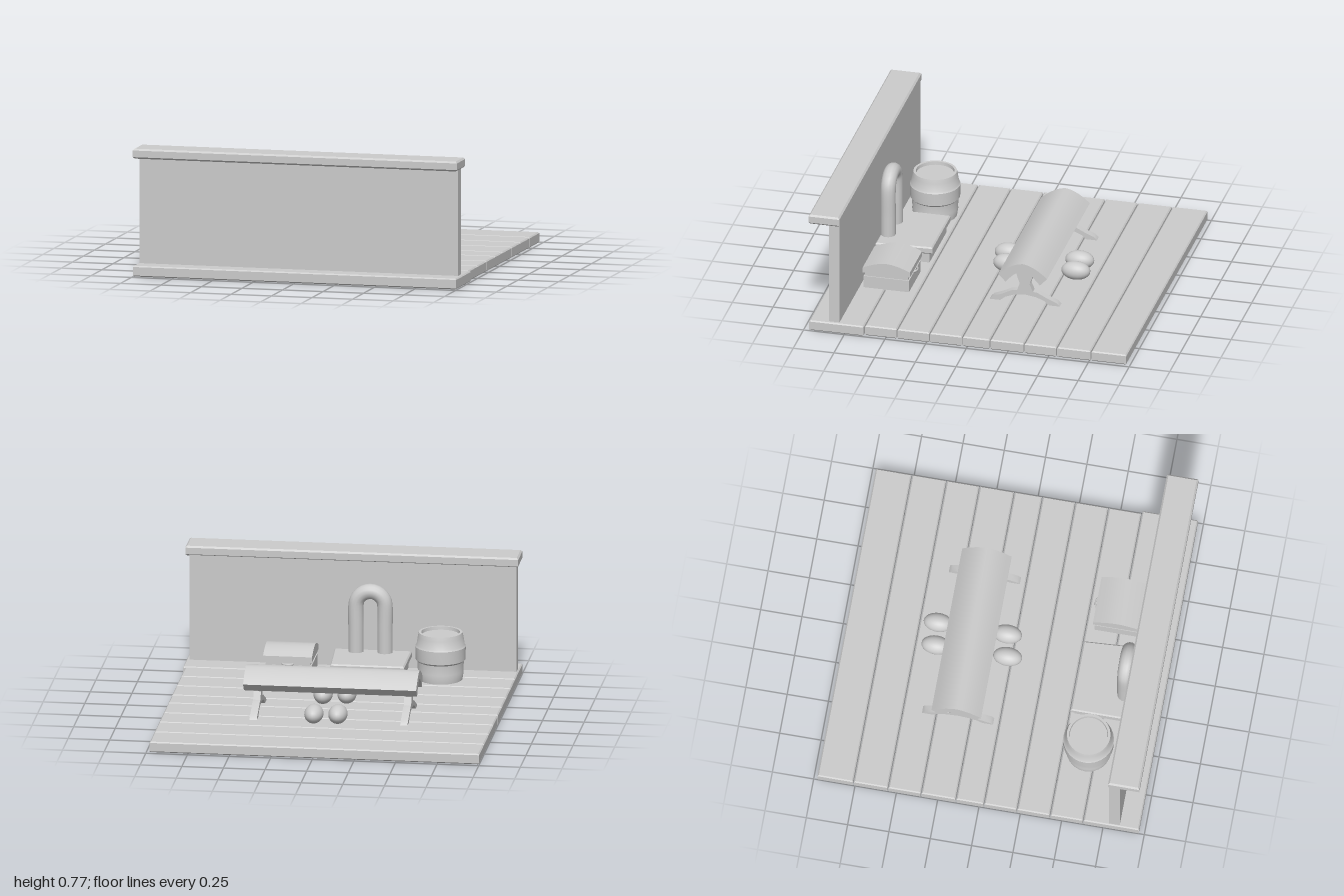
import * as THREE from 'three';
import { toCreasedNormals } from 'three/addons/utils/BufferGeometryUtils.js';

const material = new THREE.MeshStandardMaterial({ color: 0xcccccc, side: THREE.DoubleSide });

export function createModel() {
  const root = new THREE.Group();

  const add = (name, geometry, parent = root) => {
    const mesh = new THREE.Mesh(geometry, material);
    mesh.name = name;
    parent.add(mesh);
    return mesh;
  };
  const group = (name) => {
    const g = new THREE.Group();
    g.name = name;
    root.add(g);
    return g;
  };

  // Box given by its limits
  const box = (x0, x1, y0, y1, z0, z1) =>
    new THREE.BoxGeometry(x1 - x0, y1 - y0, z1 - z0)
      .translate((x0 + x1) / 2, (y0 + y1) / 2, (z0 + z1) / 2);

  // Box with bevelled long and short edges; open underneath when hollow
  const board = (x0, x1, y0, y1, z0, z1, bevel = 0.008, hollow = false) => {
    const w = x1 - x0, h = y1 - y0, d = z1 - z0;
    const g = new THREE.BoxGeometry(w, h, d, 1, 3, 1);
    const p = g.attributes.position;
    for (let i = 0; i < p.count; i++) {
      const y = p.getY(i);
      if (Math.abs(y) > h * 0.4) {
        p.setX(i, p.getX(i) * (1 - 2 * bevel / w));
        p.setZ(i, p.getZ(i) * (1 - 2 * bevel / d));
      } else p.setY(i, Math.sign(y) * (h / 2 - bevel));
    }
    if (hollow) {
      const ix = Array.from(g.index.array), { start, count } = g.groups[3];
      ix.splice(start, count);
      g.setIndex(ix);
      g.clearGroups();
    }
    g.translate((x0 + x1) / 2, (y0 + y1) / 2, (z0 + z1) / 2);
    return toCreasedNormals(g, 0.4);
  };

  // Profile of [z, y] points extruded along x
  const extrudeX = (points, x0, x1) => {
    const shape = new THREE.Shape(points.map(([z, y]) => new THREE.Vector2(-z, y)));
    const g = new THREE.ExtrudeGeometry(shape, { depth: x1 - x0, bevelEnabled: false });
    return toCreasedNormals(g.rotateY(Math.PI / 2).translate(x0, 0, 0), 0.6);
  };

  // Floor planks, hollow from below
  const floor = group('floor');
  const seams = [-0.98, -0.76, -0.55, -0.35, -0.14, 0.03, 0.23, 0.43, 0.63, 0.97];
  for (let i = 0; i < seams.length - 1; i++) {
    const last = i === seams.length - 2;
    add('floorPlank', board(-1, last ? 0.995 : 0.98, 0, 0.065,
      seams[i] + 0.003, seams[i + 1] - 0.003, 0.007, true), floor);
  }

  // Wall with its top beam
  const wall = group('wall');
  add('wallPanel', box(-0.99, 0.975, 0.05, 0.72, 0.785, 0.85), wall);
  add('wallBeam', board(-1, 1, 0.71, 0.77, 0.78, 0.97, 0.01), wall);

  // Curved bench seat
  const bench = group('bench');
  const arch = (hw, top, drop, n = 10) => Array.from({ length: n + 1 }, (_, i) => {
    const t = i / n * 2 - 1;
    return [-0.22 - t * hw, top - drop * Math.pow(Math.abs(t), 1.7)];
  });
  add('benchSeat', extrudeX(
    [...arch(0.15, 0.345, 0.082), ...arch(0.105, 0.295, 0.08).reverse()], -0.54, 0.5), bench);

  // Bench trestles: waisted post over an arched foot
  for (const x of [-0.475, 0.43]) {
    add('benchPost', extrudeX([
      [-0.165, 0.275], [-0.175, 0.23], [-0.19, 0.19], [-0.165, 0.12],
      [-0.28, 0.12], [-0.25, 0.19], [-0.265, 0.23], [-0.275, 0.275]
    ], x - 0.022, x + 0.022), bench);
    const outer = [[0.03, 0.065], [0.01, 0.085], [-0.05, 0.105], [-0.13, 0.14], [-0.22, 0.147],
      [-0.31, 0.14], [-0.39, 0.105], [-0.45, 0.085], [-0.47, 0.065]]
      .map(([z, y]) => [-0.22 + (z + 0.22) * 0.86, y]);
    const inner = [[-0.37, 0.065], [-0.34, 0.09], [-0.29, 0.11], [-0.22, 0.12],
      [-0.15, 0.11], [-0.1, 0.09], [-0.07, 0.065]];
    add('benchFoot', extrudeX([...outer, ...inner], x - 0.022, x + 0.022), bench);
  }

  // Egg-shaped cushions on both sides of the bench
  for (const [x, z] of [[-0.075, 0.008], [0.065, -0.018], [-0.078, -0.425], [0.065, -0.437]]) {
    const egg = add('cushion', new THREE.SphereGeometry(1, 24, 16));
    egg.scale.set(0.057, 0.056, 0.088);
    egg.position.set(x, 0.119, z);
  }

  // Barrel with raised rim, sunken lid and hoops
  const barrel = group('barrel');
  barrel.position.set(-0.56, 0, 0.585);
  const profile = [
    [0, 0.06], [0.13, 0.06], [0.138, 0.11], [0.136, 0.12], [0.14, 0.18], [0.149, 0.19],
    [0.151, 0.27], [0.144, 0.28], [0.136, 0.33], [0.13, 0.355], [0.115, 0.355], [0.113, 0.335], [0, 0.335]
  ].map(([r, y]) => new THREE.Vector2(r, y));
  add('barrelBody', toCreasedNormals(new THREE.LatheGeometry(profile, 28), 0.6), barrel);

  // Low seat with a horseshoe-shaped back
  const seat = group('seat');
  add('seatBase', box(-0.34, 0.075, 0.06, 0.13, 0.46, 0.78), seat);
  const slab = board(-0.36, 0.095, 0.125, 0.17, 0.44, 0.785);
  const sp = slab.attributes.position;
  for (let i = 0; i < sp.count; i++) {
    if (sp.getX(i) > 0) sp.setX(i, sp.getX(i) + (sp.getZ(i) - 0.61) * 0.06);
  }
  add('seatTop', slab, seat);
  const hoop = new THREE.CurvePath();
  const bend = Array.from({ length: 9 }, (_, i) => {
    const a = Math.PI * (1 - i / 8);
    return new THREE.Vector3(-0.118 + 0.087 * Math.cos(a), 0.457 + 0.087 * Math.sin(a), 0.74);
  });
  const path = [
    new THREE.Vector3(-0.205, 0.15, 0.74), new THREE.Vector3(-0.205, 0.3, 0.74), ...bend,
    new THREE.Vector3(-0.031, 0.3, 0.74), new THREE.Vector3(-0.031, 0.15, 0.74)
  ];
  for (let i = 1; i < path.length; i++) hoop.add(new THREE.LineCurve3(path[i - 1], path[i]));
  add('seatBack', new THREE.TubeGeometry(new THREE.CatmullRomCurve3(path), 48, 0.046, 14), seat);

  // Chest with domed lid, trim and latch
  const chest = group('chest');
  add('chestBody', box(0.21, 0.48, 0.06, 0.19, 0.49, 0.755), chest);
  add('chestTrim', box(0.203, 0.487, 0.06, 0.14, 0.482, 0.76), chest);
  const lid = [[0.765, 0.165], [0.765, 0.198]];
  for (let i = 1; i < 8; i++) {
    const t = i / 8;
    lid.push([0.765 - 0.29 * t, 0.198 + 0.04 * Math.sin(Math.PI * t)]);
  }
  lid.push([0.475, 0.198], [0.475, 0.165]);
  add('chestLid', extrudeX(lid, 0.198, 0.492), chest);
  const latch = add('chestLatch', new THREE.TorusGeometry(0.03, 0.007, 8, 16, Math.PI), chest);
  latch.rotation.x = -Math.PI / 2;
  latch.scale.y = 0.6;
  latch.position.set(0.345, 0.15, 0.482);

  return root;
}
